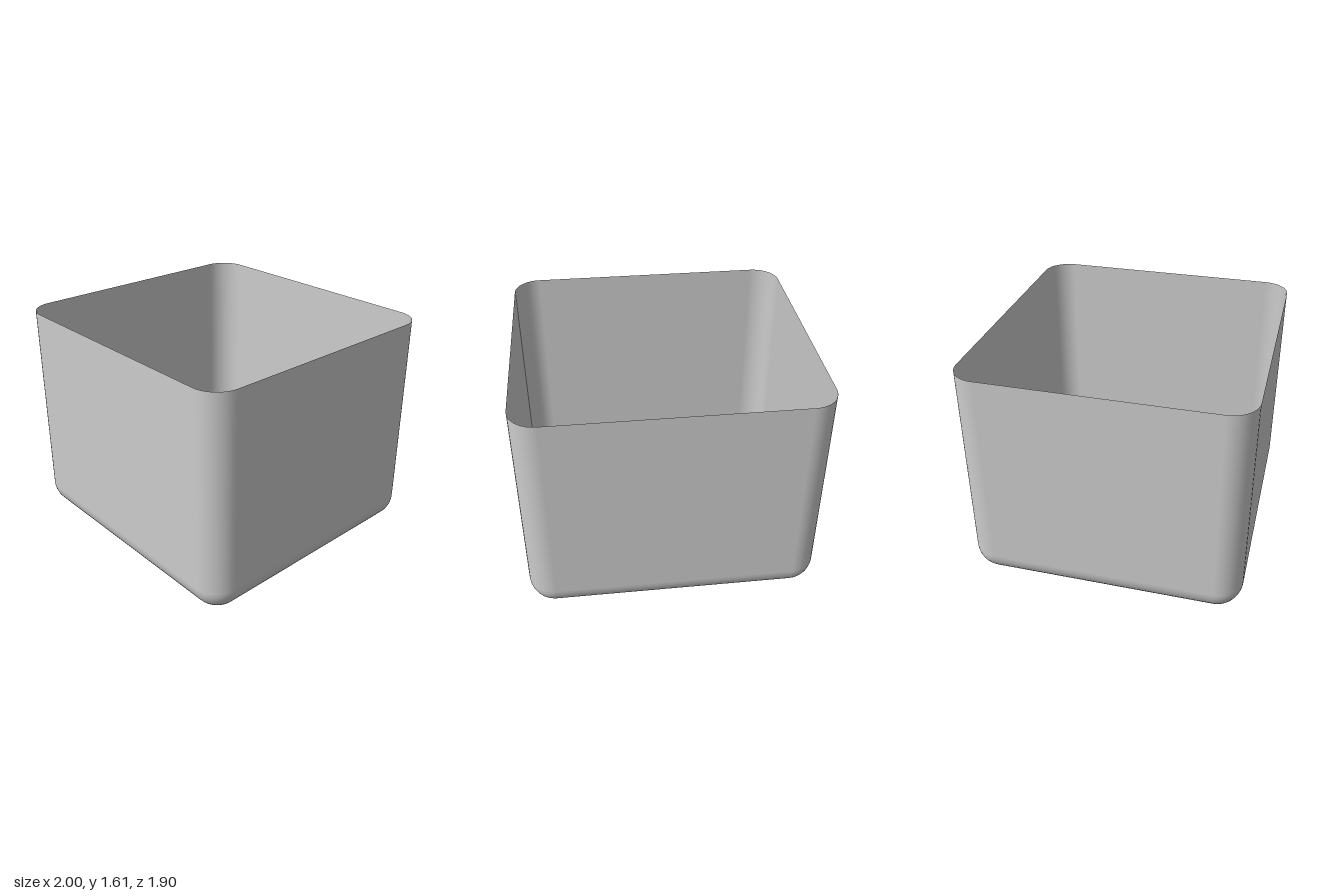
import * as THREE from 'three';

const material = new THREE.MeshStandardMaterial({ color: 0xcccccc, side: THREE.DoubleSide });
const W = 1, D = 0.95, R = 0.18;   // half width, half depth, corner radius
const FLOOR = 0.04, RIM = 1.61;

// Thin open tub: stacked rounded-rectangle rings with smooth normals
function tubGeometry(cornerSteps = 10, filletSteps = 10) {
  const pos = [0, FLOOR, 0], nor = [0, -1, 0], index = [];
  const count = 4 * (cornerSteps + 1);

  const addRing = (y, tilt) => {
    const s = Math.sin(tilt), c = Math.cos(tilt);
    for (let q = 0; q < 4; q++) {
      const cx = (q === 0 || q === 3 ? 1 : -1) * (W - R);
      const cz = (q < 2 ? 1 : -1) * (D - R);
      for (let k = 0; k <= cornerSteps; k++) {
        const a = (q + k / cornerSteps) * Math.PI / 2;
        pos.push(cx + R * s * Math.cos(a), y, cz + R * s * Math.sin(a));
        nor.push(s * Math.cos(a), -c, s * Math.sin(a));
      }
    }
  };

  // floor fillet, then the straight wall up to the rim
  for (let j = 0; j <= filletSteps; j++) {
    const t = j / filletSteps * Math.PI / 2;
    addRing(FLOOR + R * (1 - Math.cos(t)), t);
  }
  addRing(RIM, Math.PI / 2);

  for (let i = 0; i < count; i++) {
    const n = (i + 1) % count;
    index.push(0, 1 + i, 1 + n);
    for (let j = 0; j <= filletSteps; j++) {
      const a = 1 + j * count, b = a + count;
      index.push(a + i, b + i, a + n, b + i, b + n, a + n);
    }
  }
  const g = new THREE.BufferGeometry();
  g.setAttribute('position', new THREE.Float32BufferAttribute(pos, 3));
  g.setAttribute('normal', new THREE.Float32BufferAttribute(nor, 3));
  g.setIndex(index);
  return g;
}

// Upright wall following a closed outline of [x, z] points, open at both ends
function wallGeometry(outline, y0, y1) {
  const pos = [];
  outline.forEach(([ax, az], i) => {
    const [bx, bz] = outline[(i + 1) % outline.length];
    pos.push(ax, y0, az, ax, y1, az, bx, y0, bz);
    pos.push(ax, y1, az, bx, y1, bz, bx, y0, bz);
  });
  const g = new THREE.BufferGeometry();
  g.setAttribute('position', new THREE.Float32BufferAttribute(pos, 3));
  g.computeVertexNormals();
  return g;
}

const rect = (x0, x1, z0, z1) => [[x0, z0], [x1, z0], [x1, z1], [x0, z1]];

export function createModel() {
  const model = new THREE.Group();
  const add = (parent, geometry, name) => {
    const mesh = new THREE.Mesh(geometry, material);
    mesh.name = name;
    parent.add(mesh);
  };

  add(model, tubGeometry(), 'tub');

  // Rows of small hollow ribs under the floor: z range, then x ranges
  const ribs = new THREE.Group();
  ribs.name = 'undersideRibs';
  const rows = [
    { z: [-0.225, -0.17], x: [[-0.155, -0.08], [-0.005, 0.07]], y: 0.007 },
    { z: [-0.135, -0.09], x: [[-0.08, 0.085], [0.13, 0.375]], y: 0.007 },
    { z: [-0.08, -0.03], x: [[0.005, 0.085], [0.13, 0.29]], y: 0.004 },
    { z: [0.01, 0.08], x: [[-0.155, 0.005], [0.107, 0.225], [0.27, 0.35]], y: 0 },
  ];
  for (const { z, x, y } of rows) {
    for (const [x0, x1] of x) add(ribs, wallGeometry(rect(x0, x1, ...z), y, FLOOR), 'rib');
  }

  // Long rib with a wider end
  add(ribs, wallGeometry([
    [0.085, -0.225], [0.355, -0.225], [0.355, -0.24], [0.4, -0.24],
    [0.4, -0.155], [0.355, -0.155], [0.355, -0.17], [0.085, -0.17],
  ], 0.007, FLOOR), 'flaredRib');
  model.add(ribs);

  return model;
}
